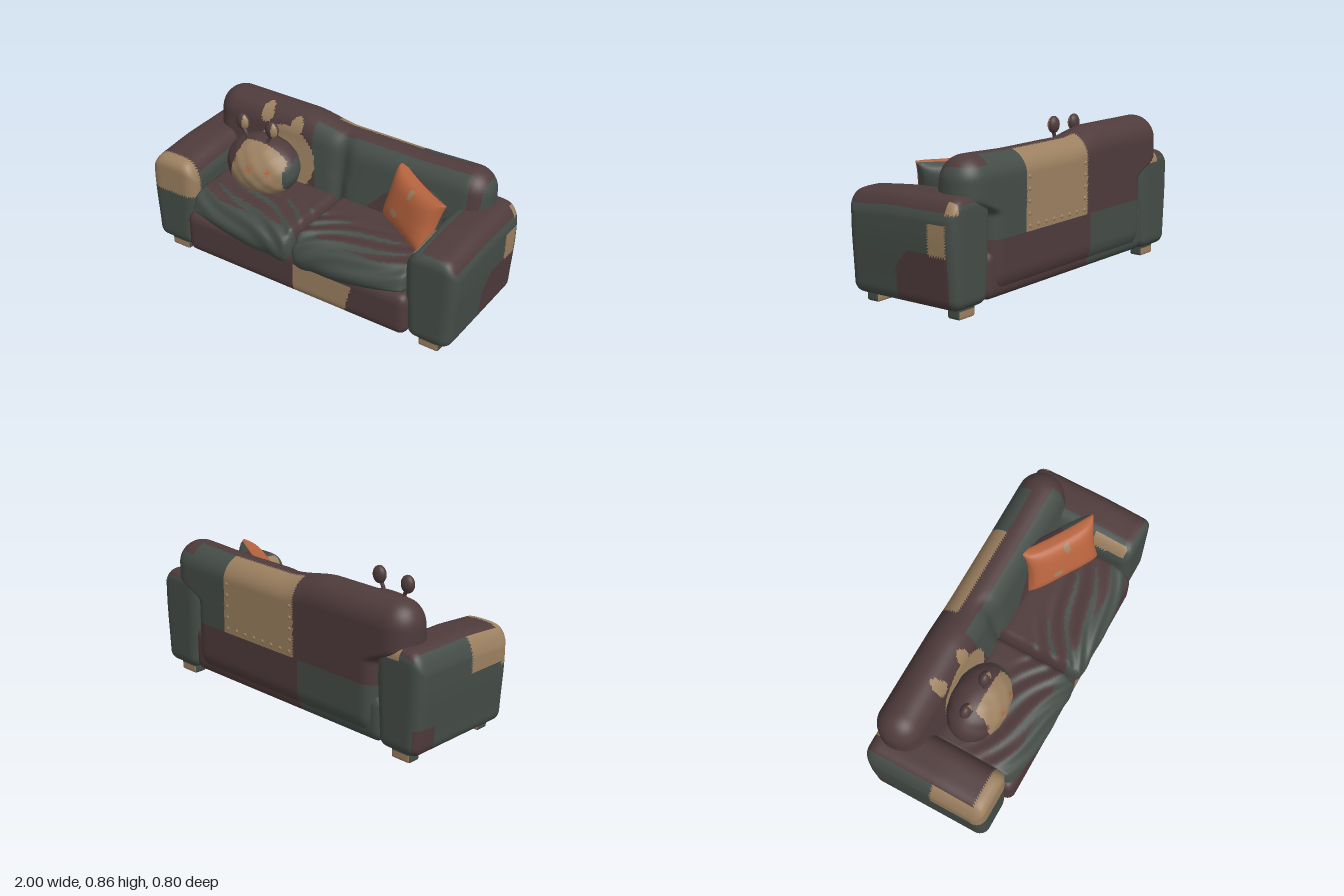
import * as THREE from 'three';
import { mergeVertices } from 'three/addons/utils/BufferGeometryUtils.js';

const material = (name, color) => {
  const m = new THREE.MeshStandardMaterial({ color });
  m.name = name;
  return m;
};
const GREEN = 0, MAROON = 1, TAN = 2, ORANGE = 3;
const palette = [
  material('mossGreen', 0x454d48), material('plumBrown', 0x4f3b3c),
  material('tanPatch', 0x9c8060), material('rustOrange', 0xb8643f),
];
const step = THREE.MathUtils.smoothstep;
const { lerp, clamp } = THREE.MathUtils;

// Sorts triangles into colour groups: rule(x, y, z, normal) gives the palette index
function paint(name, source, rule) {
  source.deleteAttribute('uv');
  source.deleteAttribute('normal');
  const geo = mergeVertices(source, 1e-5);
  geo.computeVertexNormals();
  geo.clearGroups();
  const p = geo.attributes.position, idx = geo.index.array;
  const lists = palette.map(() => []);
  const tri = new THREE.Triangle(), mid = new THREE.Vector3(), n = new THREE.Vector3();
  for (let i = 0; i < idx.length; i += 3) {
    tri.setFromAttributeAndIndices(p, idx[i], idx[i + 1], idx[i + 2]);
    tri.getMidpoint(mid);
    tri.getNormal(n);
    lists[rule(mid.x, mid.y, mid.z, n)].push(idx[i], idx[i + 1], idx[i + 2]);
  }
  geo.setIndex(lists.flat());
  let start = 0;
  lists.forEach((l, m) => {
    if (l.length) geo.addGroup(start, l.length, m);
    start += l.length;
  });
  const mesh = new THREE.Mesh(geo, palette);
  mesh.name = name;
  return mesh;
}

function bend(geo, fn) {
  const p = geo.attributes.position, v = new THREE.Vector3();
  for (let i = 0; i < p.count; i++) {
    fn(v.fromBufferAttribute(p, i));
    p.setXYZ(i, v.x, v.y, v.z);
  }
  return geo;
}

// Finely divided box between two corners with elliptical rounding on its edges
function softBox(min, max, radii, cell = 0.016) {
  const a = new THREE.Vector3(...min), b = new THREE.Vector3(...max), r = new THREE.Vector3(...radii);
  const size = b.clone().sub(a), seg = size.toArray().map((s) => Math.ceil(s / cell));
  const geo = new THREE.BoxGeometry(size.x, size.y, size.z, ...seg);
  geo.translate(...a.clone().add(b).multiplyScalar(0.5).toArray());
  const lo = a.clone().add(r), hi = b.clone().sub(r), c = new THREE.Vector3();
  return bend(geo, (v) => {
    c.copy(v).clamp(lo, hi);
    v.sub(c).divide(r).normalize().multiply(r).add(c);
  });
}

const inside = (x, y, cx, cy, rx, ry) => ((x - cx) / rx) ** 2 + ((y - cy) / ry) ** 2 < 1;

function leftHandRule(x, y, z, n) {
  if (n.x > 0.5) {
    if (z < -0.21 && z > -0.325 && y > 0.335 && y < 0.5) return TAN;
    if (z < 0.01 && z > -0.33 && y < 0.345 - 0.09 * Math.max(0, 1 + z / 0.1) ** 2) return MAROON;
  }
  if (z < -0.32 && y > 0.55 && x > 0.95) return TAN;
  if (x < 0.75 && y > 0.54 && z > 0.1 && z < 0.3) return TAN;
  return n.y > 0.4 && x > 0.78 && z < 0.31 ? MAROON : GREEN;
}

function rightHandRule(x, y, z, n) {
  if (z > 0.27 && y > 0.4) return TAN;
  if (x < -0.95 && y > 0.42 && z > 0.03) return TAN;
  if (z < -0.33 && y > 0.57 && x > -0.86) return TAN;
  if (n.y > 0.4 && x > -0.95) return MAROON;
  return n.x < -0.5 && z < -0.24 && y < 0.22 ? MAROON : GREEN;
}

function backRule(x, y, z, n) {
  if (z < -0.29) {
    if (x > -0.12 && x < 0.43 && y > 0.38) return TAN;
    if (y < 0.38) return x < -0.15 ? GREEN : MAROON;
    if (x > 0.43) return n.y > 0.6 && x > 0.72 ? MAROON : GREEN;
    return MAROON;
  }
  if (inside(x, y, -0.37, 0.57, 0.2, 0.19)) return TAN;
  if (inside(x, y, -0.52, 0.79, 0.04, 0.05) || inside(x, y, -0.31, 0.77, 0.04, 0.05)) return TAN;
  if (x < -0.2 + 0.2 * Math.max(0, 0.7 - y)) return MAROON;
  if (n.y > 0.6 && z < -0.2) return MAROON;
  if (x > 0.79 && y > 0.62 && n.x < 0.75) return MAROON;
  return x > 0.2 && x < 0.4 && y < 0.46 + (x - 0.2) ? MAROON : GREEN;
}

function createArm(side) {
  const cx = 0.845 * side;
  const geo = bend(softBox([cx - 0.155, 0.055, -0.38], [cx + 0.155, 0.63, 0.34], [0.07, 0.06, 0.06]), (v) => {
    const t = (v.x - cx) / 0.155;
    v.y -= (0.07 * t ** 4 + 0.02 * step(v.z, 0, 0.34)) * step(v.y, 0.4, 0.62);
    v.x = cx + (v.x - cx) * lerp(0.86, 1, step(v.y, 0.05, 0.45));
  });
  return paint(side > 0 ? 'leftArm' : 'rightArm', geo, side > 0 ? leftHandRule : rightHandRule);
}

// Seat cushion that sags toward the outer end, with slanting creases
function createCushion(side) {
  const geo = softBox([side > 0 ? 0 : -0.715, 0.2, -0.2], [side > 0 ? 0.715 : 0, 0.45, 0.395], [0.04, 0.125, 0.13], 0.014);
  bend(geo, (v) => {
    const ax = Math.abs(v.x), far = ax / 0.71;
    v.y += 0.1 * far ** 2 * (1 - step(v.y, 0.2, 0.38));
    v.z -= 0.05 * far ** 4 * step(v.z, 0, 0.39);
    const u = 0.5 * ax + 0.85 * v.z - 0.6 * v.y;
    const crease = 0.007 * Math.sin(u * 62 + 2.5 * Math.sin(ax * 8)) * step(v.z, 0, 0.15) * (1 - 0.6 * far ** 4);
    v.y += crease * step(v.y, 0.25, 0.4);
    v.z += 0.6 * crease;
  });
  return paint(side > 0 ? 'leftSeatCushion' : 'rightSeatCushion', geo,
    (x, y, z, n) => (y < 0.3 || (z > 0 && n.z > 0.25) || z > 0.31 ? GREEN : MAROON));
}

function createBackrest() {
  const geo = bend(softBox([-0.89, 0.06, -0.393], [0.89, 0.85, -0.13], [0.13, 0.14, 0.13]), (v) => {
    v.y += step(v.y, 0.5, 0.85) * (-0.005 - 0.04 * step(v.x, -0.3, 0) + 0.012 * step(v.x, 0.4, 0.8));
    const front = step(v.z, -0.27, -0.13);
    v.z += front * (0.16 * clamp(0.7 - v.y, 0, 0.3) - 0.03 * Math.exp(-((v.x / 0.05) ** 2)));
    v.x *= lerp(0.8, 1, step(v.y, 0.5, 0.6));
  });
  return paint('backrest', geo, backRule);
}

// Round plush cushion with two feelers
function createRoundCushion() {
  const group = new THREE.Group();
  group.name = 'roundCushion';
  const ball = new THREE.SphereGeometry(1, 64, 48).scale(0.23, 0.165, 0.155).translate(-0.43, 0.572, 0.015);
  bend(ball, (v) => {
    v.z += 0.004 * Math.sin(v.x * 55) * Math.sin(v.y * 60);
    v.z -= 0.15 * (v.y - 0.57);
  });
  group.add(paint('roundCushionBody', ball, (x, y, z, n) => {
    if (z > 0.05 && (inside(x, y, -0.43, 0.6, 0.013, 0.018) || inside(x, y, -0.32, 0.6, 0.011, 0.016))) return ORANGE;
    if (z > 0.045 && x > -0.52 - 0.25 * (0.72 - y) && x < -0.24) return TAN;
    return x > -0.34 && n.y < 0.6 ? GREEN : MAROON;
  }));
  for (const [x0, x1, y1] of [[-0.53, -0.565, 0.8], [-0.39, -0.365, 0.808]]) {
    const path = new THREE.QuadraticBezierCurve3(
      new THREE.Vector3(x0, 0.7, 0.02), new THREE.Vector3(x0, 0.74, 0.03), new THREE.Vector3(x1, y1 - 0.03, 0.018));
    const stem = new THREE.Mesh(new THREE.TubeGeometry(path, 10, 0.011, 10), palette[MAROON]);
    stem.name = 'feelerStem';
    const knob = new THREE.SphereGeometry(1, 24, 18).scale(0.042, 0.05, 0.031).translate(x1, y1, 0.016);
    group.add(stem, paint('feelerKnob', knob, (x, y, z) => (z > 0.02 && x > x1 + 0.012 ? TAN : MAROON)));
  }
  return group;
}

// Square throw pillow: thick in the middle, pinched at the seams
function createThrowPillow() {
  const geo = bend(new THREE.BoxGeometry(2, 2, 2, 36, 36, 2), (v) => {
    const { x: u, y: w } = v;
    const puff = Math.sqrt(Math.max(0, (1 - u ** 4) * (1 - w ** 4)));
    v.set(u * 0.235 * (1 - 0.09 * (1 - w * w)), w * 0.165 * (1 - 0.09 * (1 - u * u)), v.z * (0.008 + 0.072 * puff));
  });
  const pillow = paint('throwPillow', geo, (x, y, z) => {
    if (z > 0.004) return inside(x, y, -0.06, -0.06, 0.03, 0.02) || inside(x, y, 0.02, 0.1, 0.02, 0.03) ? TAN : ORANGE;
    if (z > -0.012) return ORANGE;
    return y > 0.1 && x < 0.05 ? MAROON : GREEN;
  });
  pillow.rotation.set(-0.3, -0.53, -0.03, 'YXZ');
  pillow.position.set(0.54, 0.595, -0.02);
  return pillow;
}

export function createModel() {
  const sofa = new THREE.Group();
  sofa.name = 'patchworkSofa';

  sofa.add(paint('base', softBox([-0.73, 0.06, -0.37], [0.73, 0.32, 0.37], [0.05, 0.06, 0.05]), (x, y, z) => {
    if (z > 0.3 && y > 0.065 && y < 0.26 && x > 0.02 && x < 0.35 + 0.25 * (y - 0.07)) return TAN;
    return z < -0.3 && x < -0.15 && y > 0.065 ? GREEN : MAROON;
  }));
  sofa.add(createBackrest());

  for (const side of [1, -1]) {
    sofa.add(createArm(side), createCushion(side));
    for (const [name, z] of [['frontLeg', 0.26], ['backLeg', -0.292]]) {
      const x = 0.84 * side;
      const leg = softBox([x - 0.062, 0, z - 0.04], [x + 0.062, 0.09, z + 0.04], [0.012, 0.012, 0.012], 0.009);
      sofa.add(paint(name, leg, (px, y, pz, n) => {
        if (n.y < -0.5) return px > x ? TAN : MAROON;
        return Math.abs(n.z) > 0.5 && y < 0.046 ? TAN : GREEN;
      }));
    }
  }

  // Stitch bumps round the patch on the back
  const bump = new THREE.SphereGeometry(0.012, 10, 8).scale(1, 1, 0.6);
  const addBump = (x, y) => {
    const m = new THREE.Mesh(bump, palette[TAN]);
    m.name = 'patchStitch';
    m.position.set(x, y, -0.392);
    sofa.add(m);
  };
  for (let i = 0; i < 8; i++) addBump(-0.09 + i * 0.07, 0.405);
  for (let i = 1; i < 5; i++) [-0.095, 0.405].forEach((x) => addBump(x, 0.405 + i * 0.065));

  sofa.add(createRoundCushion(), createThrowPillow());
  return sofa;
}
